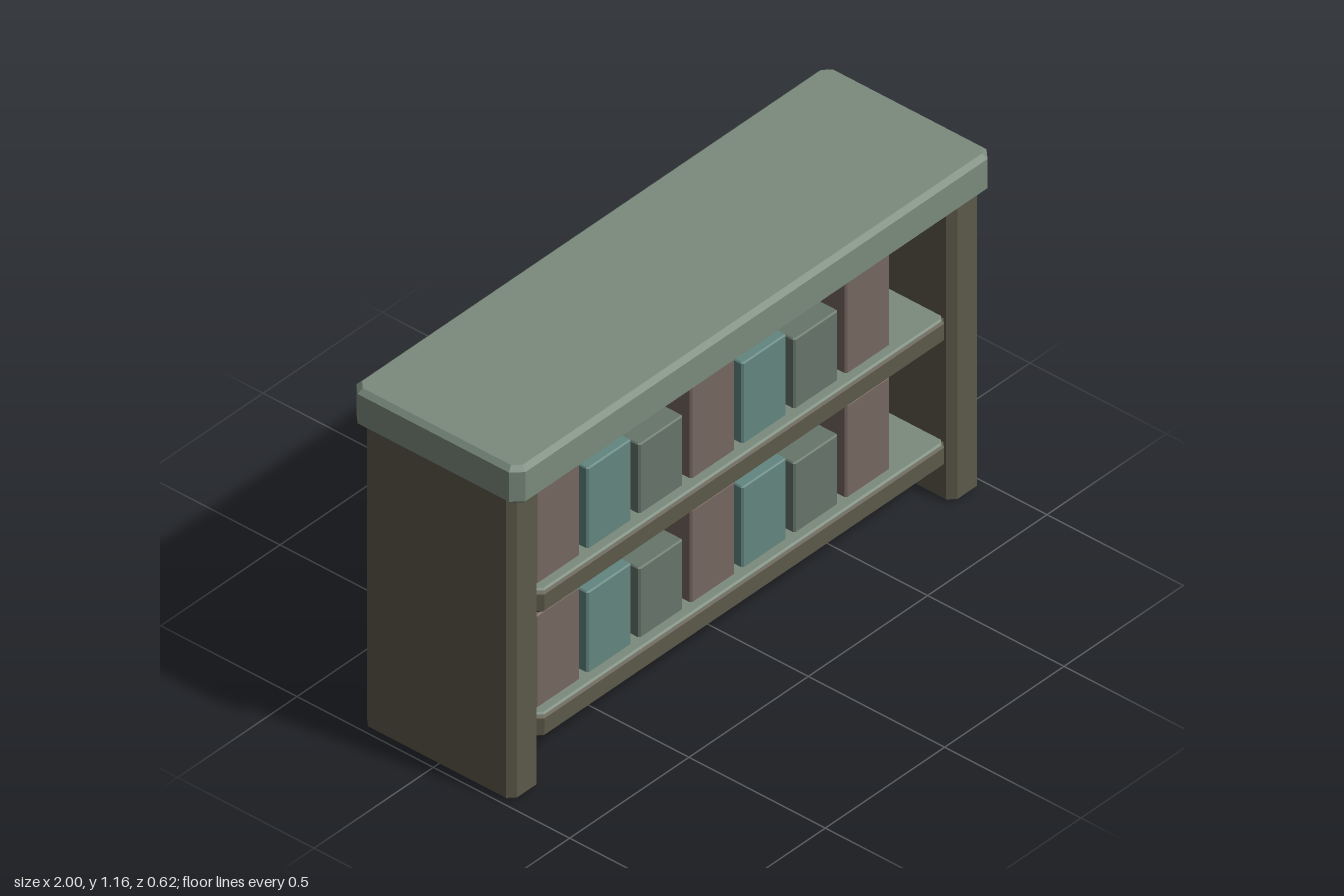
import * as THREE from 'three';

const COLORS = {
  green: 0x7b8b7d, brown: 0x5c584a, teal: 0x38504f,
  clay: 0x75665f, aqua: 0x638580, sage: 0x66756a,
};
const materials = {};
for (const key in COLORS) {
  materials[key] = new THREE.MeshStandardMaterial({ color: COLORS[key], flatShading: true });
}

// Box with cut vertical corners (cut) and bevelled top and bottom edges (bevel)
function chamferBox(name, color, [x0, x1], [y0, y1], [z0, z1], cut, bevel) {
  const a = (x1 - x0) / 2, b = (z1 - z0) / 2;
  const outline = [
    [a, -b + cut], [a, b - cut], [a - cut, b], [-a + cut, b],
    [-a, b - cut], [-a, -b + cut], [-a + cut, -b], [a - cut, -b],
  ].map(([x, y]) => new THREE.Vector2(x, y));
  const geometry = new THREE.ExtrudeGeometry(new THREE.Shape(outline), {
    depth: y1 - y0 - 2 * bevel, bevelEnabled: true, bevelSegments: 1,
    bevelSize: bevel, bevelOffset: -bevel, bevelThickness: bevel,
  });
  geometry.translate(0, 0, bevel);
  geometry.rotateX(-Math.PI / 2);
  const mesh = new THREE.Mesh(geometry, materials[color]);
  mesh.name = name;
  mesh.position.set((x0 + x1) / 2, y0, (z0 + z1) / 2);
  return mesh;
}

export function createModel() {
  const model = new THREE.Group();
  model.name = 'shopCounter';

  // Countertop
  model.add(chamferBox('countertop', 'green', [-1, 1], [1.03, 1.16], [-0.31, 0.31], 0.032, 0.015));

  // Side panels
  model.add(chamferBox('leftPanel', 'brown', [0.86, 0.985], [0, 1.04], [-0.275, 0.275], 0.022, 0.01));
  model.add(chamferBox('rightPanel', 'brown', [-0.985, -0.86], [0, 1.04], [-0.275, 0.275], 0.022, 0.01));

  // Back panel
  model.add(chamferBox('backPanel', 'teal', [-0.945, 0.945], [0, 1.04], [-0.293, -0.245], 0.012, 0.008));

  // Two shelves, each with a surface layer and a row of goods
  const goods = [['clay', 0.315], ['aqua', 0.275], ['sage', 0.237]];
  for (const [label, base, top] of [['lower', 0.14, 0.22], ['upper', 0.565, 0.645]]) {
    const shelf = new THREE.Group();
    shelf.name = label + 'Shelf';
    shelf.add(chamferBox('shelfBoard', 'brown', [-0.855, 0.855], [base, top - 0.004], [-0.26, 0.265], 0.018, 0.01));
    shelf.add(chamferBox('shelfSurface', 'green', [-0.85, 0.85], [top - 0.012, top], [-0.255, 0.26], 0.018, 0.005));
    for (let i = 0; i < 7; i++) {
      const [color, height] = goods[i % 3];
      const x = -0.83 + i * 0.2165;
      shelf.add(chamferBox('goodsBox', color, [x, x + 0.185], [top - 0.004, top + height], [-0.19, 0.228], 0.006, 0.004));
    }
    model.add(shelf);
  }
  return model;
}
